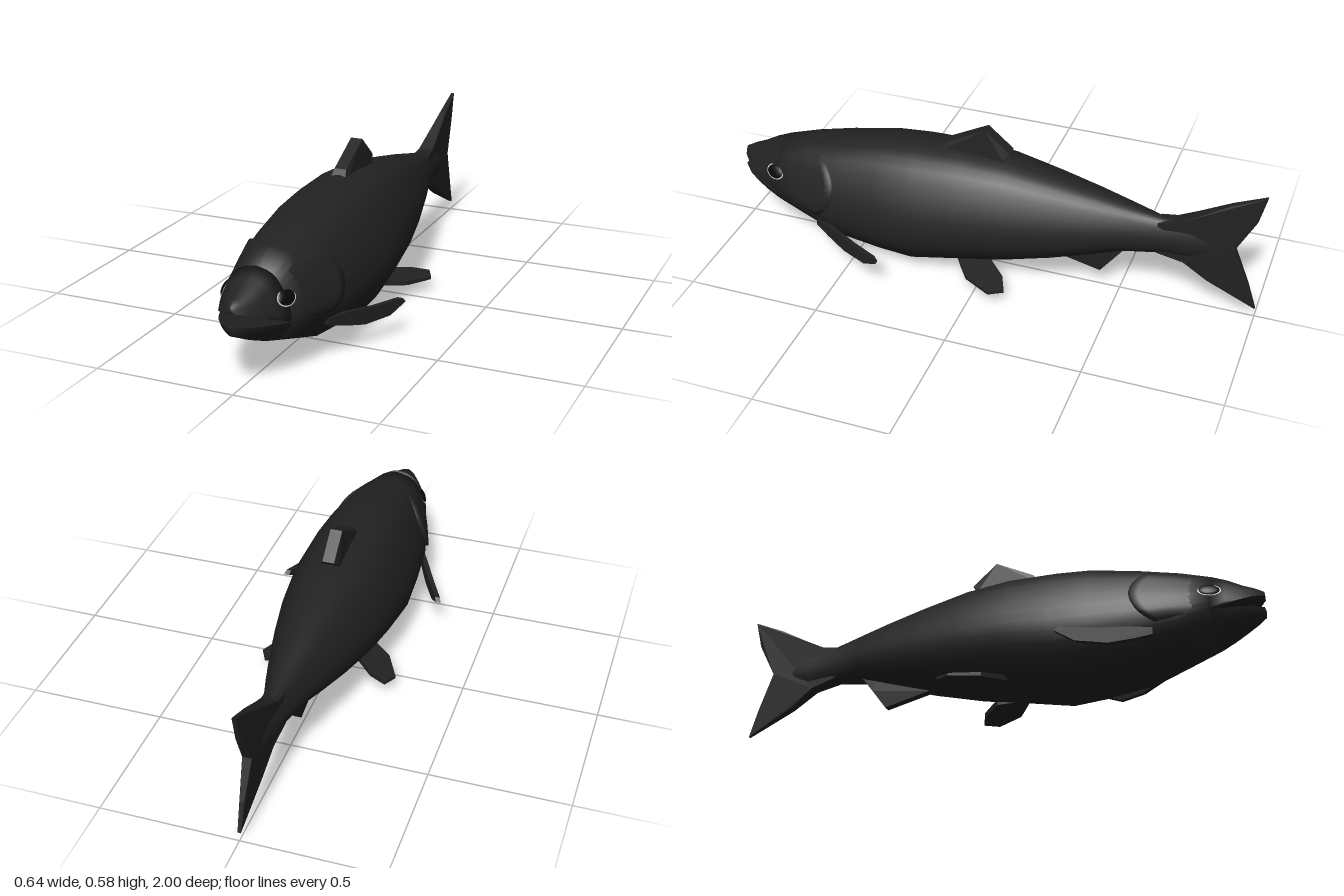
import * as THREE from 'three';

const skin = new THREE.MeshStandardMaterial({ color: 0x222222, side: THREE.DoubleSide });
const pupilMat = new THREE.MeshStandardMaterial({ color: 0x080808 });
const ringMat = new THREE.MeshStandardMaterial({ color: 0xcccccc });

// Body stations from nose to tail: z, top y, bottom y, half width
const stations = [
  [1, 0.30, 0.20, 0.02], [0.97, 0.315, 0.185, 0.055], [0.93, 0.33, 0.165, 0.082],
  [0.88, 0.357, 0.14, 0.107], [0.83, 0.377, 0.118, 0.127], [0.72, 0.41, 0.08, 0.158],
  [0.58, 0.442, 0.032, 0.192], [0.4, 0.478, 0.008, 0.21], [0.27, 0.488, 0, 0.218],
  [0.1, 0.492, 0.035, 0.21], [-0.07, 0.478, 0.065, 0.187], [-0.25, 0.443, 0.11, 0.15],
  [-0.4, 0.41, 0.155, 0.113], [-0.51, 0.383, 0.19, 0.083], [-0.65, 0.35, 0.205, 0.043],
  [-0.75, 0.345, 0.205, 0.034], [-0.86, 0.31, 0.24, 0.012],
];

// Normalised half cross-section, top to belly
const section = new THREE.CatmullRomCurve3([
  [0, 1], [0.33, 0.965], [0.6, 0.88], [0.81, 0.72], [0.96, 0.54],
  [1, 0.36], [0.86, 0.2], [0.5, 0.045], [0, 0],
].map(([x, y]) => new THREE.Vector3(x, y, 0)));

function skinPoint(z, t) {
  let i = 0;
  while (i < stations.length - 2 && stations[i + 1][0] > z) i++;
  const a = stations[i], b = stations[i + 1];
  const k = (a[0] - z) / (a[0] - b[0]);
  const [top, bottom, w] = [1, 2, 3].map((n) => THREE.MathUtils.lerp(a[n], b[n], k));
  const p = section.getPoint(t);
  return new THREE.Vector3(p.x * w, bottom + p.y * (top - bottom), z);
}

function buildGeometry(points, index) {
  const g = new THREE.BufferGeometry().setFromPoints(points);
  g.setIndex(index);
  g.computeVertexNormals();
  return g;
}

// Closed loft through rings; clampY trims each ring along the mouth
function loft(zs, clampY = (y) => y) {
  const half = 16, n = half * 2, pts = [], idx = [];
  for (const z of zs) {
    for (let j = 0; j < n; j++) {
      const p = skinPoint(z, j <= half ? j / half : (n - j) / half);
      pts.push(new THREE.Vector3(j <= half ? p.x : -p.x, clampY(p.y, z), z));
    }
  }
  for (let i = 0; i < zs.length - 1; i++) {
    for (let j = 0; j < n; j++) {
      const a = i * n + j, b = i * n + (j + 1) % n;
      idx.push(a, b, a + n, b, b + n, a + n);
    }
  }
  // End caps
  for (const row of [0, zs.length - 1]) {
    const ring = pts.slice(row * n, row * n + n);
    const c = pts.length;
    pts.push(ring.reduce((s, p) => s.add(p), new THREE.Vector3()).divideScalar(n));
    for (let j = 0; j < n; j++) {
      const a = row * n + j, b = row * n + (j + 1) % n;
      idx.push(c, ...(row === 0 ? [b, a] : [a, b]));
    }
  }
  return buildGeometry(pts, idx);
}

// Slab from an outline, centred on its thickness, then reshaped by a rule
function slab(outline, thickness, turn, rule) {
  const shape = new THREE.Shape(outline.map(([a, b]) => new THREE.Vector2(a, b)));
  const g = new THREE.ExtrudeGeometry(shape, { depth: thickness, bevelEnabled: false });
  g.translate(0, 0, -thickness / 2);
  turn(g);
  const pos = g.attributes.position, v = new THREE.Vector3();
  for (let i = 0; i < pos.count; i++) {
    rule(v.fromBufferAttribute(pos, i));
    pos.setXYZ(i, v.x, v.y, v.z);
  }
  g.computeVertexNormals();
  return g;
}
const upright = (g) => g.rotateY(-Math.PI / 2); // outline is (z, y)
const level = (g) => g.rotateX(Math.PI / 2); // outline is (x, z)

// Raised gill cover on one side, with a curved rear edge that folds inward
function gillCover() {
  const rows = 14, cols = 8, pts = [], idx = [];
  for (let r = 0; r <= rows; r++) {
    const v = r / rows;
    const rear = 0.72 - 0.155 * Math.sin(Math.PI * Math.min(1, 0.12 + v * 0.75));
    for (let c = 0; c <= cols + 1; c++) {
      const u = Math.min(1, c / cols);
      const p = skinPoint(THREE.MathUtils.lerp(0.82, rear, u), 0.2 + 0.48 * v);
      p.x += c > cols ? -0.015 : -0.004 + 0.017 * u * Math.min(1, 6 * v, 6 * (1 - v));
      pts.push(p);
      if (r < rows && c <= cols) {
        const a = r * (cols + 2) + c, b = a + cols + 2;
        idx.push(a, b, a + 1, b, b + 1, a + 1);
      }
    }
  }
  return buildGeometry(pts, idx);
}

export function createModel() {
  const fish = new THREE.Group();
  fish.name = 'fish';
  const add = (name, geometry, material = skin, parent = fish) => {
    const mesh = new THREE.Mesh(geometry, material);
    mesh.name = name;
    parent.add(mesh);
    return mesh;
  };

  // Trunk and the two jaws, parted by a wedge-shaped mouth
  const zs = stations.map((s) => s[0]);
  const jawZs = zs.filter((z) => z >= 0.83);
  add('body', loft(zs.filter((z) => z <= 0.83)));
  add('upperJaw', loft(jawZs, (y, z) => Math.max(y, 0.205 + (z - 0.83) * 0.42)));
  add('lowerJaw', loft(jawZs, (y, z) => Math.min(y, 0.203 + (z - 0.83) * 0.17)));

  // Forked tail, thinning towards the tips
  add('tailFin', slab([
    [-0.63, 0.34], [-0.69, 0.352], [-0.76, 0.39], [-0.88, 0.46], [-1, 0.515], [-0.975, 0.41],
    [-0.905, 0.278], [-0.965, 0.14], [-1, 0.035], [-0.82, 0.125], [-0.73, 0.19], [-0.63, 0.215],
  ], 2, upright, (p) => {
    const out = Math.abs(p.y - 0.278) * 0.08;
    p.x *= Math.max(0.006, 0.036 - (-0.63 - p.z) * 0.07 - out * 0.5);
  }));

  // Dorsal fin, flared where it meets the back
  add('dorsalFin', slab([
    [0.2, 0.46], [0.165, 0.508], [0.02, 0.583], [-0.075, 0.503], [-0.05, 0.478], [-0.05, 0.45],
  ], 0.044, upright, (p) => { if (p.y < 0.49) p.x *= 1.5; }));

  // Anal fin
  add('analFin', slab([
    [-0.22, 0.16], [-0.25, 0.11], [-0.425, 0.07], [-0.475, 0.14], [-0.52, 0.2], [-0.45, 0.24],
  ], 0.03, upright, (p) => { if (p.y > 0.12) p.x *= 1.6; }));

  // Paired parts
  const pectoral = slab([
    [0.64, 0.15], [0.57, 0.15], [0.45, 0.138], [0.35, 0.137], [0.337, 0.122],
    [0.4, 0.088], [0.5, 0.085], [0.58, 0.105], [0.64, 0.125],
  ], 0.02, upright, (p) => { p.x += 0.19 + (0.58 - p.z) * 0.5; });
  const pelvic = slab([
    [0.09, 0.11], [0.15, 0.07], [0.206, 0.03], [0.26, -0.074], [0.233, -0.127], [0.17, -0.1], [0.09, -0.02],
  ], 0.02, level, (p) => {
    const k = (p.x - 0.09) / 0.17;
    p.y = p.y * (1.2 - 0.7 * k) + 0.073 - 0.023 * k;
  });
  const cover = gillCover();

  for (const side of [1, -1]) {
    const half = new THREE.Group();
    half.name = side > 0 ? 'leftSide' : 'rightSide';
    half.scale.x = side;
    fish.add(half);
    add('pectoralFin', pectoral, skin, half);
    add('pelvicFin', pelvic, skin, half);
    add('gillCover', cover, skin, half);

    // Eye set flush into the cheek
    const eye = new THREE.Group();
    eye.name = 'eye';
    eye.position.copy(skinPoint(0.83, 0.33));
    eye.position.y = 0.285;
    eye.position.x = 0.11;
    eye.lookAt(eye.position.clone().add(new THREE.Vector3(1, 0.5, 0.32)));
    eye.scale.set(1.35, 0.95, 0.35);
    half.add(eye);
    add('pupil', new THREE.SphereGeometry(0.027, 20, 12), pupilMat, eye);
    add('eyeRing', new THREE.TorusGeometry(0.028, 0.0028, 8, 28), ringMat, eye);
  }
  return fish;
}
